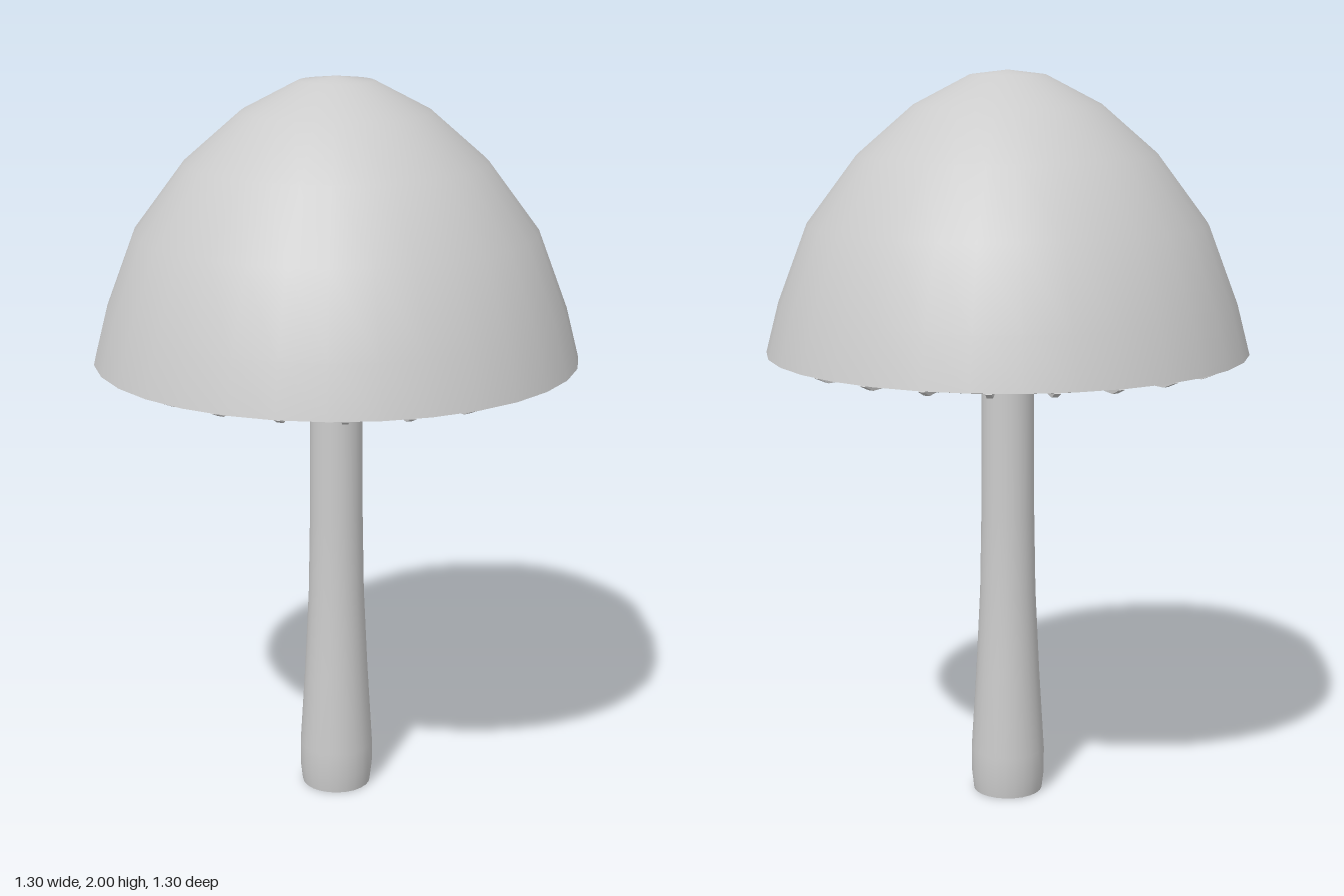
import * as THREE from 'three';

const grey = new THREE.MeshStandardMaterial({ color: 0xcccccc, side: THREE.DoubleSide });
const points = (list) => list.map(([x, y]) => new THREE.Vector2(x, y));

function addLathe(parent, name, profile, segments) {
  const mesh = new THREE.Mesh(new THREE.LatheGeometry(points(profile), segments), grey);
  mesh.name = name;
  parent.add(mesh);
}

// thin vertical plate cut from a radius/height outline
function gillGeometry(outline, thickness = 0.016) {
  const geometry = new THREE.ExtrudeGeometry(new THREE.Shape(points(outline)), {
    depth: thickness, bevelEnabled: false,
  });
  return geometry.translate(0, 0, -thickness / 2);
}

export function createModel() {
  const model = new THREE.Group();
  model.name = 'mushroom';

  // domed cap
  addLathe(model, 'capTop', [
    [0.65, 1.255], [0.615, 1.39], [0.535, 1.6], [0.4, 1.78],
    [0.25, 1.91], [0.1, 1.988], [0, 2],
  ], 32);

  // narrow lip around the opening
  addLathe(model, 'capRim', [[0.625, 1.25], [0.65, 1.255]], 32);

  // shallow hollow under the cap
  addLathe(model, 'capUnderside', [
    [0, 1.32], [0.3, 1.312], [0.5, 1.295], [0.625, 1.25],
  ], 32);

  // stem, swelling towards the foot
  addLathe(model, 'stem', [
    [0.096, 0], [0.102, 0.05], [0.102, 0.12], [0.088, 0.35],
    [0.077, 0.58], [0.073, 0.8], [0.071, 1.2], [0.071, 1.32],
  ], 24);
  addLathe(model, 'stemFoot', [[0, 0], [0.096, 0]], 24);

  // alternating long and short gills
  const longGill = gillGeometry([
    [0.11, 1.325], [0.11, 1.29], [0.3, 1.242], [0.6, 1.235],
    [0.635, 1.25], [0.5, 1.3], [0.3, 1.32],
  ]);
  const shortGill = gillGeometry([
    [0.31, 1.32], [0.31, 1.25], [0.4, 1.24], [0.6, 1.235],
    [0.635, 1.25], [0.5, 1.3],
  ]);
  const gills = new THREE.Group();
  gills.name = 'gills';
  for (let i = 0; i < 24; i++) {
    const gill = new THREE.Mesh(i % 2 ? shortGill : longGill, grey);
    gill.name = i % 2 ? 'shortGill' : 'longGill';
    gill.rotation.y = (i * Math.PI) / 12;
    gills.add(gill);
  }
  model.add(gills);

  return model;
}
